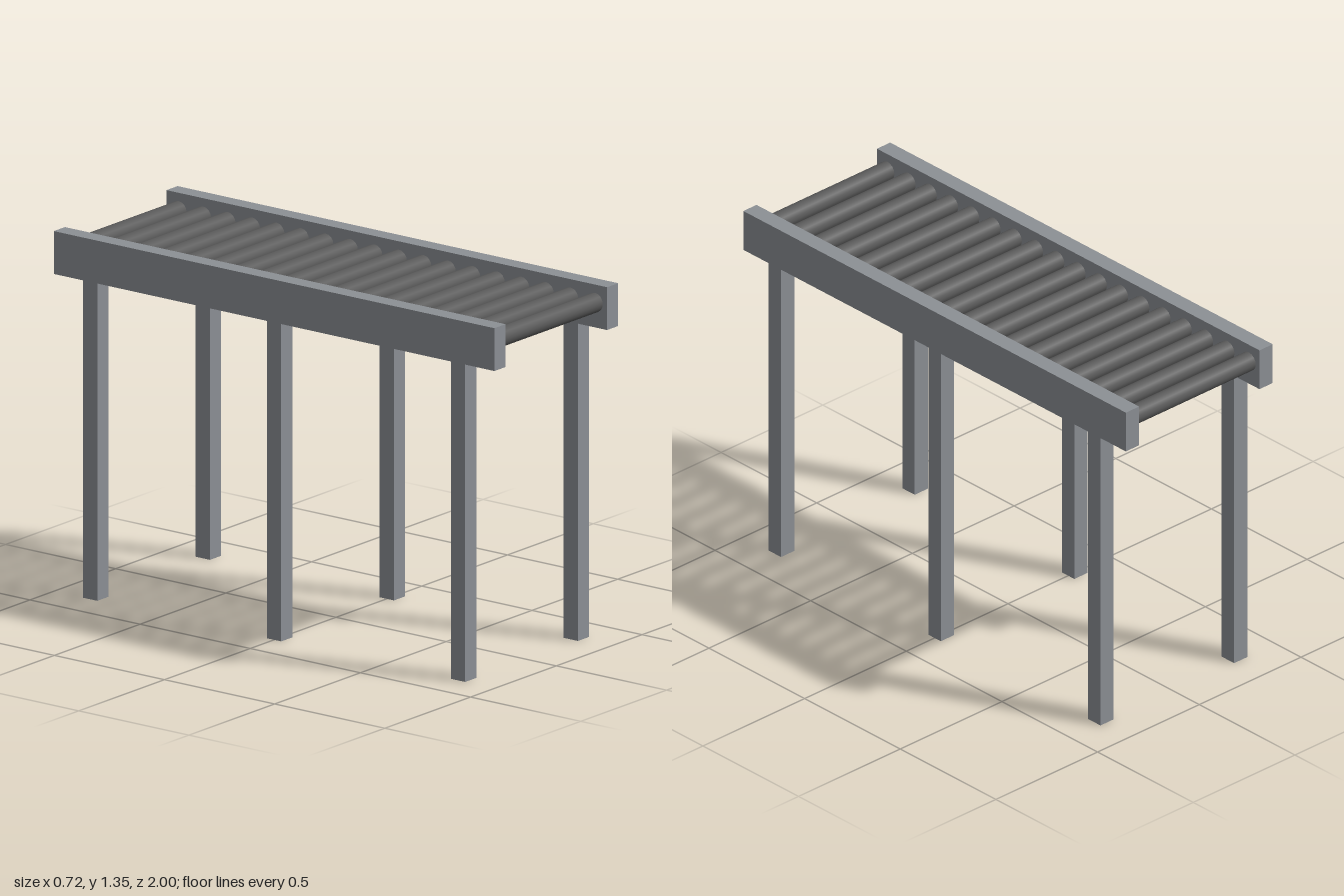
import * as THREE from 'three';

export function createModel() {
  const model = new THREE.Group();
  model.name = 'rollerConveyor';

  const frameGrey = new THREE.MeshStandardMaterial({ color: 0x8c9095 });
  frameGrey.name = 'frame grey';
  const rollerGrey = new THREE.MeshStandardMaterial({ color: 0x5a5a5a });
  rollerGrey.name = 'roller dark grey';

  const add = (name, geometry, material, x, y, z) => {
    const mesh = new THREE.Mesh(geometry, material);
    mesh.name = name;
    mesh.position.set(x, y, z);
    model.add(mesh);
  };

  const width = 0.065, inner = 0.296;  // frame thickness, half the clear width
  const legHeight = 1.185, railHeight = 0.16;

  // Side rails, each on three legs
  const railGeometry = new THREE.BoxGeometry(width, railHeight, 2);
  const legGeometry = new THREE.BoxGeometry(width, legHeight, width);
  for (const [side, label] of [[1, 'left'], [-1, 'right']]) {
    const x = side * (inner + width / 2);
    add(label + 'Rail', railGeometry, frameGrey, x, legHeight + railHeight / 2, 0);
    for (const [z, place] of [[0.835, 'Front'], [0, 'Middle'], [-0.835, 'Back']]) {
      add(label + place + 'Leg', legGeometry, frameGrey, x, legHeight / 2, z);
    }
  }

  // Evenly spaced rollers between the rails
  const count = 18, pitch = 2 / count;
  const rollerGeometry = new THREE.CylinderGeometry(0.036, 0.036, inner * 2, 16).rotateZ(Math.PI / 2);
  for (let i = 0; i < count; i++) {
    add('roller' + (i + 1), rollerGeometry, rollerGrey, 0, 1.278, -1 + pitch * (i + 0.5));
  }

  return model;
}
